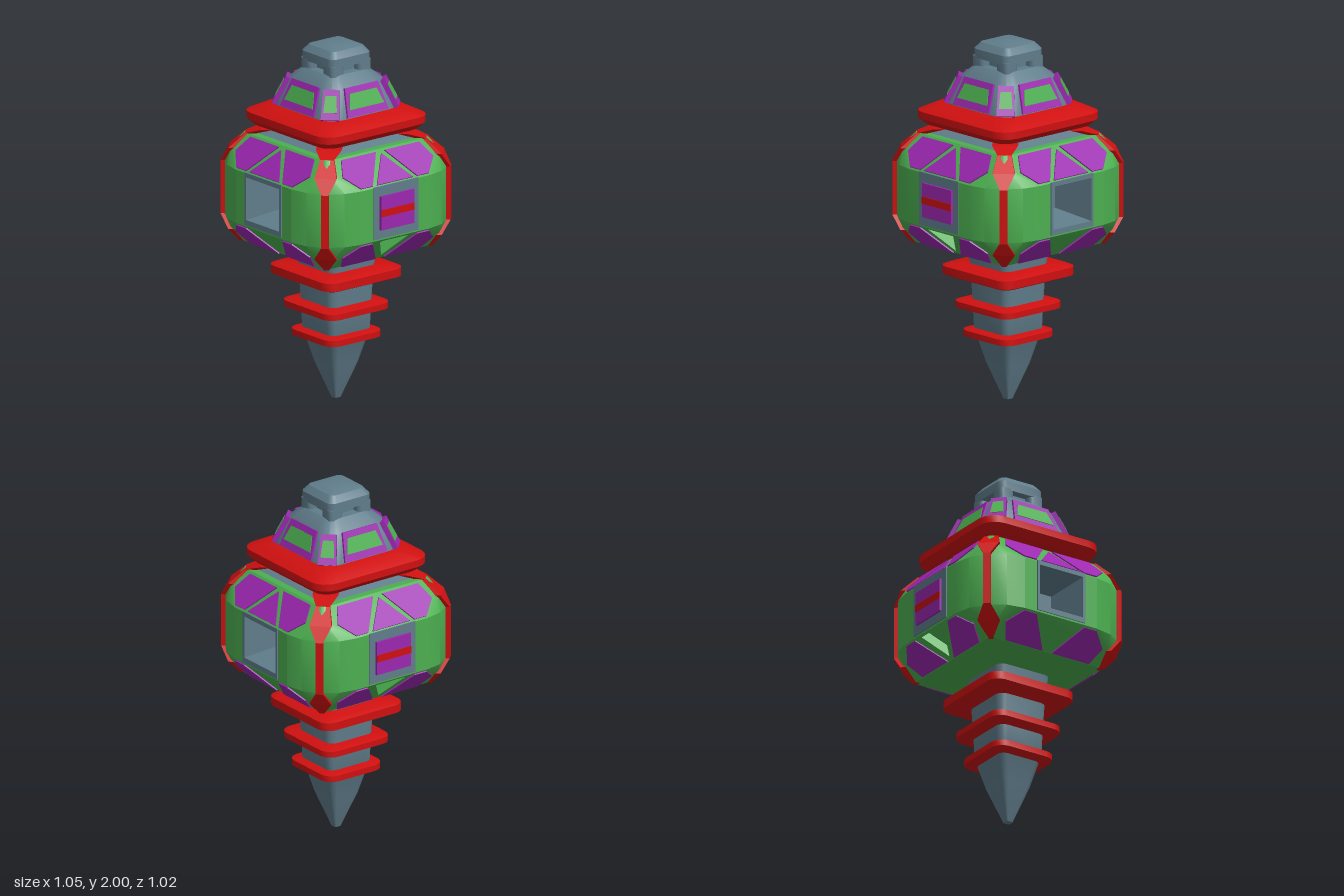
import * as THREE from 'three';
import { toCreasedNormals } from 'three/addons/utils/BufferGeometryUtils.js';

const mat = (name, color) => {
  const m = new THREE.MeshStandardMaterial({ color, side: THREE.DoubleSide });
  m.name = name;
  return m;
};

export function createModel() {
  const root = new THREE.Group();
  root.name = 'drillCapsule';
  const green = mat('green', 0x4caf50), red = mat('red', 0xd01010);
  const purple = mat('purple', 0x9c27b0), grey = mat('slate grey', 0x607d8b);

  const add = (parent, name, geo, material, x = 0, y = 0, z = 0) => {
    const m = new THREE.Mesh(geo, material);
    m.name = name;
    m.position.set(x, y, z);
    parent.add(m);
    return m;
  };

  // Closed loft through rounded squares [y, half size, corner radius].
  // skip(row, corner) leaves out the flat quad following that corner.
  const N = 4;
  const loft = (rings, skip = () => false) => {
    const sections = rings.map(([y, h, r]) => {
      const pts = [];
      for (let k = 0; k < 4; k++) for (let s = 0; s <= N; s++) {
        const c = (k + 0.5) * Math.PI / 2, a = (k + s / N) * Math.PI / 2;
        pts.push(new THREE.Vector3(
          Math.sign(Math.cos(c)) * (h - r) + r * Math.cos(a), y,
          Math.sign(Math.sin(c)) * (h - r) + r * Math.sin(a)));
      }
      return pts;
    });
    const tris = [], n = 4 * (N + 1), last = sections.length - 1;
    const bottom = new THREE.Vector3(0, rings[0][0], 0), top = new THREE.Vector3(0, rings[last][0], 0);
    for (let i = 0; i < n; i++) {
      const j = (i + 1) % n;
      for (let row = 0; row < last; row++) {
        if (i % (N + 1) === N && skip(row, Math.floor(i / (N + 1)))) continue;
        const A = sections[row], B = sections[row + 1];
        tris.push(A[i], B[i], B[j], A[i], B[j], A[j]);
      }
      tris.push(bottom, sections[0][i], sections[0][j], top, sections[last][j], sections[last][i]);
    }
    return toCreasedNormals(new THREE.BufferGeometry().setFromPoints(tris), 0.5);
  };

  // Group lying on a sloped face: local x across, y up the slope, z outward.
  const facet = (name, angle, y0, h0, y1, h1) => {
    const g = new THREE.Group(), X = new THREE.Vector3(1, 0, 0);
    const up = new THREE.Vector3(0, y1 - y0, h1 - h0).normalize();
    const m = new THREE.Matrix4().makeBasis(X, up, X.clone().cross(up)).setPosition(0, y0, h0);
    m.premultiply(new THREE.Matrix4().makeRotationY(angle));
    g.applyMatrix4(m);
    g.name = name;
    root.add(g);
    return g;
  };
  const shape = (pts, hole) => {
    const s = new THREE.Shape(pts.map(p => new THREE.Vector2(...p)));
    if (hole) s.holes.push(new THREE.Path(hole.map(p => new THREE.Vector2(...p))));
    return s;
  };
  const plate = (s, depth) => new THREE.ExtrudeGeometry(s, { depth, bevelEnabled: false });
  const rect = (w, y0, y1) => [[-w, y0], [w, y0], [w, y1], [-w, y1]];

  // Body hull, leaving openings for the windows and the vents
  add(root, 'body', loft([
    [0.845, 0.22, 0.02], [0.87, 0.365, 0.03], [0.945, 0.435, 0.11], [1.02, 0.505, 0.27],
    [1.32, 0.505, 0.27], [1.4, 0.4325, 0.1], [1.48, 0.36, 0.03]],
    (row, k) => (row === 3 && k % 2 === 0) || ((row === 1 || row === 2) && k % 2 === 1)), green);

  const wing = [[0.155, 0.012], [0.235, 0.012], [0.315, 0.1], [0.27, 0.2], [0.03, 0.2]];
  const L = 0.205;
  for (let i = 0; i < 4; i++) {
    const a = i * Math.PI / 2;
    // Painted panels on the upper and lower slopes
    const upper = facet('upperSlope', a, 1.32, 0.505, 1.48, 0.36);
    const lower = facet('lowerSlope', a, 0.87, 0.365, 1.02, 0.505);
    add(upper, 'trianglePanel', plate(shape([[-0.125, 0.012], [0.125, 0.012], [0, 0.185]]), 0.007), purple);
    for (const s of [-1, 1]) {
      add(upper, 'upperPanel', plate(shape(wing.map(([x, v]) => [s * x, v])), 0.007), purple);
      add(lower, 'lowerPanel', plate(shape(wing.map(([x, v]) => [s * x, L - v])), 0.007), purple);
    }
    const side = facet('belt', a, 0, 0.505, 1, 0.505);
    if (i % 2 === 0) {
      // Recessed square window
      const hole = rect(0.14, 1.06, 1.3);
      add(side, 'windowWall', new THREE.ShapeGeometry(shape(rect(0.235, 1.02, 1.32), hole)), green);
      add(side, 'windowFrame', plate(shape(rect(0.155, 1.03, 1.325), hole), 0.006), grey);
      const funnel = new THREE.CylinderGeometry(0.14 * Math.SQRT2, 0.1 * Math.SQRT2, 0.25, 4, 1, true)
        .rotateY(Math.PI / 4).rotateX(Math.PI / 2).scale(1, 0.12 / 0.14, 1).toNonIndexed();
      funnel.computeVertexNormals();
      // inward-facing winding
      const p = funnel.attributes.position, flipped = [];
      for (let t = 0; t < p.count; t += 3)
        for (const q of [0, 2, 1]) flipped.push(new THREE.Vector3().fromBufferAttribute(p, t + q));
      const inner = new THREE.BufferGeometry().setFromPoints(flipped);
      inner.computeVertexNormals();
      add(side, 'windowRecess', inner, grey, 0, 1.18, -0.122);
      add(side, 'windowBack', new THREE.PlaneGeometry(0.2, 0.18), grey, 0, 1.18, -0.24);
    } else {
      // Side hatch
      add(side, 'hatchFrame', plate(shape(rect(0.155, 1.03, 1.325)), 0.006), grey);
      add(side, 'hatch', new THREE.BoxGeometry(0.23, 0.19, 0.03), purple, 0, 1.175, 0.004);
      add(side, 'hatchStripe', new THREE.BoxGeometry(0.23, 0.04, 0.006), red, 0, 1.175, 0.019);
      // Triangular vent under the hatch
      add(lower, 'ventWall', plate(shape(
        [[-0.335, 0], [0.335, 0], [0.325, L / 2], [0.235, L], [-0.235, L], [-0.325, L / 2]],
        [[-0.1, L - 0.015], [0.1, L - 0.015], [0, 0.025]]), 0.06), green, 0, 0, -0.06);
      add(lower, 'ventBack', new THREE.PlaneGeometry(0.24, L), green, 0, L / 2, -0.06);
    }

    // Dome windows: a wide one on each side, a narrow one on each corner
    const domeWindow = (angle, d0, d1, w0, w1) => {
      const g = facet('domeWindow', angle, 1.655, d0, 1.805, d1);
      const len = Math.hypot(0.15, d0 - d1), e = Math.min(0.022, w1 * 0.3);
      add(g, 'windowSurround', plate(shape([[-w0, 0], [w0, 0], [w1, len], [-w1, len]]), 0.03), purple, 0, 0, -0.02);
      add(g, 'windowPane', plate(shape([[e - w0, 0.04], [w0 - e, 0.04], [w1 - e, len - 0.035], [e - w1, len - 0.035]]),
        0.004), green, 0, 0, 0.009);
    };
    domeWindow(a, 0.266, 0.206, 0.142, 0.115);
    domeWindow(a + Math.PI / 4, 0.335, 0.258, 0.05, 0.042);

    // Corner brace: [diagonal distance, y, half width], swept from top to bottom
    const path = [[0.4, 1.51, 0.07], [0.49, 1.48, 0.038], [0.578, 1.4, 0.06], [0.622, 1.32, 0.02],
      [0.622, 1.02, 0.02], [0.578, 0.945, 0.06], [0.52, 0.868, 0.012]];
    const rows = path.map(([d, y, w]) => [[w, d], [-w, d], [-w, d - 0.06], [w, d - 0.06]]
      .map(([x, z]) => new THREE.Vector3(x, y, z)));
    const tris = [];
    for (let r = 0; r < rows.length - 1; r++) for (let c = 0; c < 4; c++) {
      const A = rows[r], B = rows[r + 1], n = (c + 1) % 4;
      tris.push(A[c], A[n], B[n], A[c], B[n], B[c]);
    }
    for (const [r, o] of [[rows[0], [0, 3, 2, 0, 2, 1]], [rows[rows.length - 1], [0, 1, 2, 0, 2, 3]]])
      o.forEach(k => tris.push(r[k]));
    const brace = new THREE.BufferGeometry().setFromPoints(tris);
    brace.computeVertexNormals();
    add(root, 'cornerBrace', brace, red).rotation.y = a + Math.PI / 4;

    // Feet of the cap, leaving a slot on each side
    const foot = add(root, 'capFoot', loft([[1.85, 0.045, 0.025], [1.91, 0.045, 0.025]]), grey);
    foot.position.set(0.095 * (i < 2 ? 1 : -1), 0, 0.095 * (i % 2 ? 1 : -1));
  }

  // Neck, collar, dome and cap
  add(root, 'neck', loft([[1.47, 0.34, 0.03], [1.505, 0.26, 0.06], [1.56, 0.26, 0.06]]), grey);
  add(root, 'collar', loft([[1.515, 0.26, 0.06], [1.53, 0.335, 0.08], [1.565, 0.372, 0.1],
    [1.605, 0.372, 0.1], [1.65, 0.288, 0.09]]), red);
  add(root, 'dome', loft([[1.64, 0.266, 0.1], [1.66, 0.262, 0.1], [1.8, 0.205, 0.09], [1.86, 0.14, 0.06]]), grey);
  add(root, 'capPost', loft([[1.85, 0.09, 0.02], [1.91, 0.09, 0.02]]), grey);
  add(root, 'cap', loft([[1.9, 0.14, 0.04], [1.95, 0.14, 0.04], [1.985, 0.112, 0.03], [2, 0.06, 0.01]]), grey);

  // Drill shaft and point
  add(root, 'drillShaft', loft([[0, 0.02, 0.006], [0.012, 0.024, 0.008], [0.2, 0.092, 0.03], [0.35, 0.132, 0.04],
    [0.37, 0.142, 0.045], [0.54, 0.148, 0.045], [0.72, 0.158, 0.05], [0.86, 0.172, 0.05]]), grey);
  for (const [y, h, half] of [[0.718, 0.27, 0.038], [0.528, 0.22, 0.028], [0.368, 0.19, 0.028]])
    add(root, 'drillRing', loft([[y - half, h - 0.035, 0.06], [y - half * 0.6, h, 0.07],
      [y + half * 0.6, h, 0.07], [y + half, h - 0.035, 0.06]]), red);

  return root;
}
